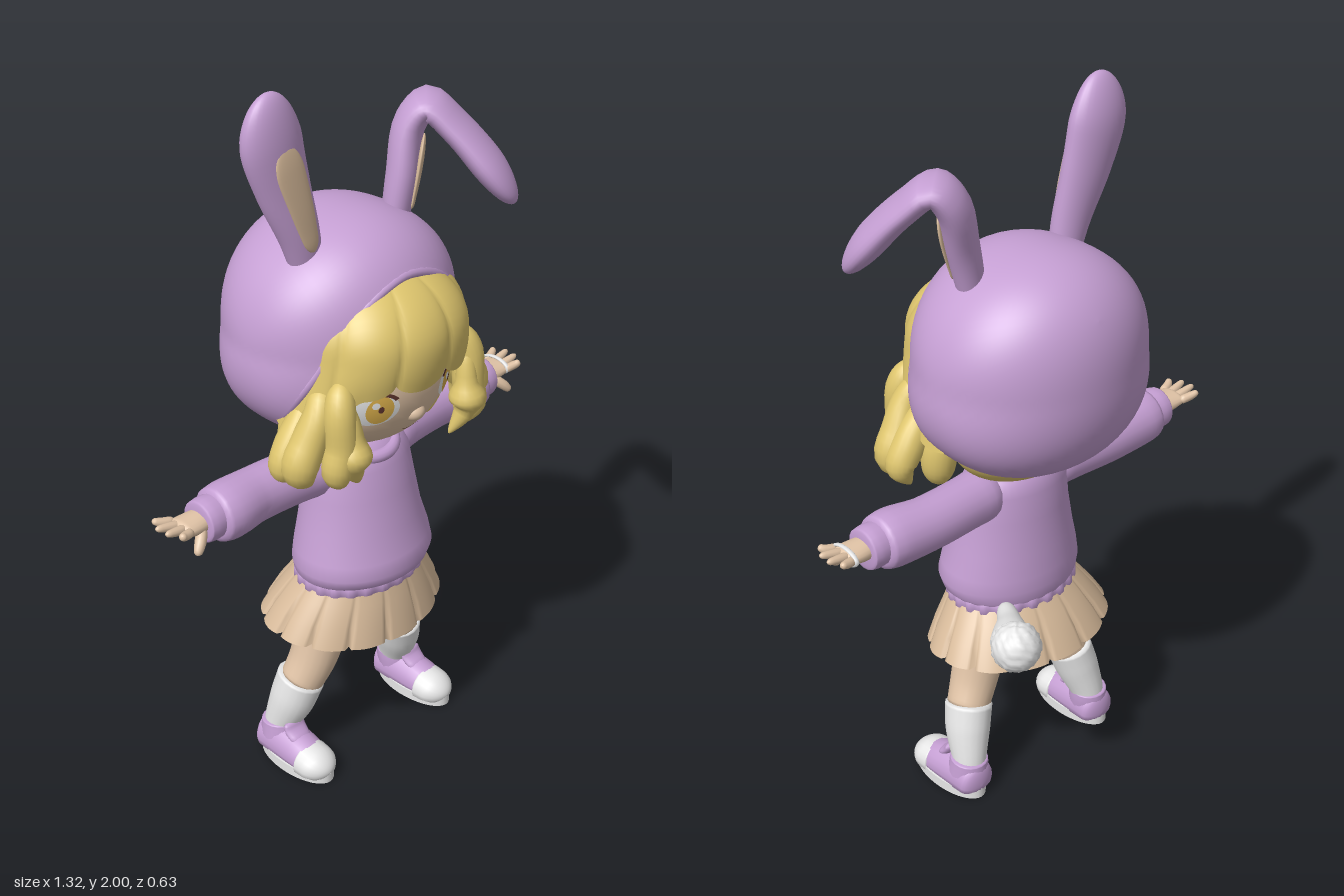
import * as THREE from 'three';

const V = (x, y, z) => new THREE.Vector3(x, y, z);
const mat = (name, color, side = THREE.FrontSide) => {
  const m = new THREE.MeshStandardMaterial({ color, side });
  m.name = name;
  return m;
};

// Surface from f(u, v), closed around u; outward when du x dv points out
function grid(f, nu, nv, closed = true) {
  const pos = [], idx = [], cols = closed ? nu : nu + 1;
  for (let j = 0; j <= nv; j++)
    for (let i = 0; i < cols; i++) pos.push(...f(i / nu, j / nv).toArray());
  for (let j = 0; j < nv; j++)
    for (let i = 0; i < nu; i++) {
      const a = j * cols + i, b = j * cols + (i + 1) % cols;
      idx.push(a, b, a + cols, b, b + cols, a + cols);
    }
  const g = new THREE.BufferGeometry();
  g.setAttribute('position', new THREE.Float32BufferAttribute(pos, 3));
  g.setIndex(idx);
  g.computeVertexNormals();
  return g;
}

// Elliptical tube through [x, y, z, width, thickness] with rounded ends
function sweep(pts, { side = V(1, 0, 0), c0 = 0.15, c1 = 0.15, lift = 0, floor = -9, nu = 20, nv = 24 } = {}) {
  const path = new THREE.CatmullRomCurve3(pts.map(p => V(p[0], p[1], p[2])));
  const size = new THREE.CatmullRomCurve3(pts.map(p => V(p[3], p[4] ?? p[3], 0)));
  const round = x => Math.sqrt(Math.max(1e-5, 1 - x * x));
  return grid((u, v) => {
    const t = 0.5 - 0.5 * Math.cos(Math.PI * v), a = u * Math.PI * 2;
    const T = path.getTangent(t);
    const S = side.clone().addScaledVector(T, -side.dot(T)).normalize();
    const N = T.clone().cross(S), r = size.getPoint(t);
    let k = 1;
    if (c0 && t < c0) k *= round((c0 - t) / c0);
    if (c1 && t > 1 - c1) k *= round((t - 1 + c1) / c1);
    const p = path.getPoint(t).addScaledVector(S, Math.cos(a) * r.x * k)
      .addScaledVector(N, Math.sin(a) * r.y * k + lift);
    p.y = Math.max(p.y, floor);
    return p;
  }, nu, nv);
}

// Stacked rings [y, half width, front z, back z], listed upward
function rings(list, nu = 48, mod = () => 1, drop = () => 0) {
  const n = list.length - 1;
  return grid((u, v) => {
    const [y, rx, zf, zb] = list[Math.round(v * n)], a = u * Math.PI * 2, k = mod(u, v);
    return V(rx * Math.sin(a) * k, y - drop(a) * (1 - v), (zf + zb) / 2 + (zf - zb) / 2 * Math.cos(a) * k);
  }, nu, n);
}

export function createModel() {
  const root = new THREE.Group();
  const D = THREE.DoubleSide;
  const lilac = mat('lilac knit', 0xc59fd3, D), hair = mat('blonde hair', 0xdfc66e, D);
  const skin = mat('skin', 0xe0c3a6), tan = mat('tan cloth', 0xd8bb9b, D);
  const white = mat('white', 0xe8e8e8, D), amber = mat('amber iris', 0xdcb04c, D), dark = mat('dark lash', 0x5c332c, D);
  const add = (name, g, m) => {
    const o = new THREE.Mesh(g, m);
    o.name = name;
    root.add(o);
    return o;
  };
  const ball = (name, m, p, s) => {
    const o = add(name, new THREE.SphereGeometry(1, 36, 24), m);
    o.position.set(...p);
    o.scale.set(...s);
    return o;
  };

  // Head and face
  const HC = [0, 1.22, 0.04], HR = [0.245, 0.22, 0.22];
  ball('head', skin, HC, HR);
  ball('nose', skin, [0, 1.137, 0.225], [0.032, 0.026, 0.033]);
  const onFace = (name, m, g, x, y, sx, sy, lift) => {
    const p = g.attributes.position;
    for (let i = 0; i < p.count; i++) {
      const X = x + p.getX(i) * sx, Y = y + p.getY(i) * sy;
      const q = 1 - (X / HR[0]) ** 2 - ((Y - HC[1]) / HR[1]) ** 2;
      p.setXYZ(i, X, Y, HC[2] + HR[2] * Math.sqrt(Math.max(q, 0)) + lift);
    }
    g.computeVertexNormals();
    add(name, g, m);
  };
  const disc = () => new THREE.RingGeometry(0.001, 1, 28, 5);
  const arc = (r, a, b) => new THREE.RingGeometry(r, 1, 24, 2, a, b);
  for (const s of [1, -1]) {
    onFace('eyeWhite', white, disc(), s * 0.13, 1.185, 0.058, 0.046, 0.002);
    onFace('iris', amber, disc(), s * 0.122, 1.187, 0.033, 0.042, 0.004);
    onFace('pupil', dark, disc(), s * 0.122, 1.19, 0.007, 0.01, 0.006);
    onFace('eyeGlint', white, disc(), s * 0.122 - 0.014, 1.204, 0.009, 0.01, 0.007);
    onFace('upperLash', dark, arc(0.83, s > 0 ? 0.1 : 0.6, Math.PI - 0.7), s * 0.135, 1.185, 0.068, 0.055, 0.006);
  }
  onFace('mouth', dark, arc(0.92, Math.PI * 1.2, Math.PI * 0.6), 0, 1.108, 0.04, 0.024, 0.003);

  // Hair: nape, fringe with scalloped locks, curls at each side
  ball('backHair', hair, [0, 1.11, -0.02], [0.23, 0.145, 0.15]);
  add('fringe', grid((u, v) => {
    const a = (u - 0.5) * 4, lock = Math.sqrt(Math.abs(Math.cos(a * 5 + (1 - v) * 0.7)));
    const sideDrop = THREE.MathUtils.smoothstep(Math.abs(a), 0.75, 1.15);
    const yb = 1.275 - 0.035 * lock - 0.11 * sideDrop;
    const y = yb + (1.53 - yb) * Math.sin(v * Math.PI / 2);
    const h = y - 1.34, sn = Math.sin(a), cs = Math.cos(a);
    const r = h > 0 ? Math.sqrt(Math.max(0, 1 - (h / 0.19) ** 2)) : 1 - 0.1 * (1 - sideDrop) * (h / 0.13) ** 2;
    const k = r * (0.95 + 0.05 * lock) * (Math.abs(sn) ** 2.2 + Math.abs(cs) ** 2.2) ** (-1 / 2.2);
    return V((0.258 - 0.2 * Math.min(h, 0)) * sn * k, y, 0.05 + 0.265 * cs * k);
  }, 140, 20, false), hair);
  const curls = [
    [[0.21, 1.29, 0.18, 0.03], [0.235, 1.21, 0.2, 0.042], [0.235, 1.12, 0.205, 0.043], [0.25, 1.05, 0.205, 0.04], [0.205, 0.985, 0.185, 0.02]],
    [[0.22, 1.26, 0.13, 0.035], [0.258, 1.2, 0.15, 0.04], [0.29, 1.13, 0.145, 0.047], [0.317, 1.065, 0.14, 0.05], [0.27, 0.99, 0.13, 0.025]],
    [[0.21, 1.22, 0.08, 0.035], [0.255, 1.17, 0.095, 0.042], [0.3, 1.11, 0.095, 0.045], [0.328, 1.055, 0.095, 0.042], [0.31, 1.0, 0.08, 0.02]],
    [[0.21, 1.18, 0.04, 0.04], [0.235, 1.1, 0.045, 0.05], [0.24, 1.04, 0.05, 0.045], [0.22, 0.975, 0.07, 0.025]],
    [[0.22, 1.24, 0.205, 0.022], [0.21, 1.13, 0.222, 0.03], [0.21, 1.06, 0.222, 0.03], [0.17, 0.985, 0.2, 0.015]],
  ];
  for (const s of [1, -1])
    for (const c of curls)
      add('sideCurl', sweep(c.map(([x, y, z, r]) => [s * x, y, z, r]), { c1: 0.3 }), hair);

  // Hood: rounded shell, fuller below, open towards the lower front, with a rolled rim
  const B = V(0, 0.566, -0.824), W = V(0, 0.824, 0.566);
  const hoodPoint = (phi, theta, k = 1) => {
    const d = B.clone().multiplyScalar(Math.cos(theta))
      .addScaledVector(V(1, 0, 0), Math.sin(theta) * Math.cos(phi))
      .addScaledVector(W, Math.sin(theta) * Math.sin(phi));
    const p = 2.5, yz = (Math.abs(d.y) ** p + Math.abs(d.z) ** p) ** (1 / p);
    d.multiplyScalar(k / Math.hypot(d.x, yz));
    return V(d.x * (0.325 - 0.07 * Math.min(d.y, 0)), 1.325 + d.y * 0.303, -0.04 + d.z * 0.28);
  };
  const rim = phi => 1.91 + 0.28 * Math.cos(phi) ** 2 + 0.06 * Math.max(0, Math.sin(phi)) * Math.abs(Math.cos(phi));
  add('hood', grid((u, v) => hoodPoint(u * Math.PI * 2, rim(u * Math.PI * 2) * Math.max(v, 0.001)), 64, 36), lilac);
  const rimPts = [];
  for (let i = 0; i < 32; i++) rimPts.push(hoodPoint(i * Math.PI / 16, rim(i * Math.PI / 16), 0.965));
  add('hoodRim', new THREE.TubeGeometry(new THREE.CatmullRomCurve3(rimPts, true), 96, 0.013, 8, true), lilac);

  // Ears: one upright, one folded forward, each with a tan inner face
  const ear = (name, pts, inner, side, tip) => {
    add(name, sweep(pts, { side, c0: 0.02, c1: tip, nv: 40, nu: 28 }), lilac);
    add(name + 'Inner', sweep(inner, { side, c0: 0.1, c1: 0.35, lift: 0.038, nv: 30 }), tan);
  };
  ear('uprightEar',
    [[-0.155, 1.5, 0.01, 0.042, 0.035], [-0.185, 1.62, 0.01, 0.058, 0.042], [-0.225, 1.75, 0, 0.078, 0.046], [-0.258, 1.88, -0.005, 0.09, 0.048], [-0.27, 2.0, 0, 0.085, 0.045]],
    [[-0.172, 1.58, 0.012, 0.02, 0.006], [-0.208, 1.7, 0.01, 0.036, 0.009], [-0.238, 1.8, 0.005, 0.044, 0.009], [-0.255, 1.87, 0, 0.044, 0.008]], V(-1, 0, 0), 0.3);
  ear('foldedEar',
    [[0.155, 1.52, 0, 0.042, 0.035], [0.185, 1.66, 0, 0.06, 0.042], [0.225, 1.79, -0.012, 0.074, 0.042], [0.26, 1.836, 0.012, 0.083, 0.038],
      [0.298, 1.785, 0.07, 0.086, 0.038], [0.342, 1.69, 0.15, 0.088, 0.042], [0.378, 1.592, 0.218, 0.085, 0.042]],
    [[0.165, 1.58, 0.002, 0.02, 0.006], [0.188, 1.67, 0.002, 0.037, 0.009], [0.216, 1.77, -0.004, 0.044, 0.009]], V(-0.76, 0, 0.65), 0.2);

  // Sweater with ribbed hem and collar
  add('sweater', rings([[0.595, 0.19, 0.185, -0.115], [0.61, 0.204, 0.207, -0.12], [0.64, 0.212, 0.217, -0.123], [0.68, 0.205, 0.208, -0.12],
    [0.75, 0.186, 0.186, -0.113], [0.85, 0.168, 0.166, -0.102], [0.93, 0.16, 0.145, -0.098], [0.97, 0.14, 0.128, -0.085], [1.0, 0.1, 0.1, -0.06], [1.015, 0.03, 0.05, 0]]), lilac);
  const rib = u => 1 + 0.015 * Math.sign(Math.cos(u * Math.PI * 2 * 24));
  add('hem', rings([[0.568, 0.185, 0.18, -0.11], [0.575, 0.197, 0.19, -0.12], [0.6, 0.197, 0.192, -0.12], [0.61, 0.188, 0.183, -0.112]], 144, rib), lilac);
  const collar = add('collar', new THREE.TorusGeometry(0.088, 0.018, 12, 40), lilac);
  collar.position.set(0, 0.985, 0.042);
  collar.rotation.x = Math.PI / 2 + 0.25;
  ball('neck', skin, [0, 1.0, 0.02], [0.075, 0.06, 0.075]);

  // Skirt of wide panels parted by narrow grooves, longest in front, over the hips
  const pleat = (u, v) => {
    const f = (u * 14 + 0.5) % 1;
    return 1 + (1 - v) * (f > 0.95 || f < 0.05 ? -0.06 : 0.025 * Math.sin(f * Math.PI));
  };
  add('skirt', rings([[0.45, 0.278, 0.213, -0.203], [0.5, 0.25, 0.205, -0.178], [0.55, 0.215, 0.192, -0.145], [0.595, 0.183, 0.178, -0.11]],
    168, pleat, a => 0.012 * Math.cos(a) + 0.018 * Math.cos(a) ** 2), tan);
  ball('hips', skin, [0, 0.535, 0.03], [0.172, 0.1, 0.13]);

  for (const s of [1, -1]) {
    const mx = pts => pts.map(([x, ...r]) => [s * x, ...r]);

    // Sleeve, cuff and hand
    add('sleeve', sweep(mx([[0.08, 0.925, 0.015, 0.08, 0.08], [0.2, 0.928, 0, 0.073, 0.072], [0.34, 0.93, -0.008, 0.074, 0.072], [0.44, 0.934, 0, 0.078, 0.08], [0.5, 0.936, 0, 0.07, 0.07]]),
      { side: V(0, 1, 0), c1: 0.08 }), lilac);
    add('cuff', sweep(mx([[0.475, 0.938, 0, 0.058], [0.51, 0.938, 0, 0.06], [0.54, 0.938, 0, 0.056]]), { side: V(0, 1, 0), c1: 0.12 }), lilac);
    add('palm', sweep(mx([[0.5, 0.943, 0, 0.03, 0.035], [0.555, 0.944, 0, 0.026, 0.042], [0.605, 0.95, 0, 0.017, 0.044]]), { side: V(0, 1, 0) }), skin);
    for (let i = 0; i < 4; i++) {
      const z = (i - 1.5) * 0.023, len = [0.64, 0.658, 0.655, 0.632][i];
      add('finger', sweep(mx([[0.585, 0.95, z, 0.013], [0.62, 0.957, z * 1.3, 0.012], [len, 0.966, z * 1.55, 0.008]]), { side: V(0, 1, 0), nu: 10, nv: 10 }), skin);
    }
    add('thumb', sweep(mx([[0.545, 0.935, 0.025, 0.016], [0.57, 0.912, 0.045, 0.015], [0.59, 0.89, 0.056, 0.01]]), { side: V(0, 1, 0), nu: 10, nv: 10 }), skin);

    // Leg and sock
    add('leg', sweep(mx([[0.1, 0.52, 0.02, 0.08], [0.128, 0.42, 0.02, 0.074], [0.16, 0.32, 0.015, 0.067], [0.2, 0.24, 0, 0.06]]), { c0: 0.05, c1: 0.05 }), skin);
    add('sock', sweep(mx([[0.192, 0.265, 0.002, 0.065, 0.071], [0.212, 0.19, -0.015, 0.062, 0.067], [0.232, 0.1, -0.042, 0.048, 0.05], [0.235, 0.06, -0.045, 0.046, 0.046]]), { c0: 0.03, c1: 0.05 }), white);

    // Shoe: sole, upper, toe cap, ankle collar, tongue
    const sole = add('sole', new THREE.CylinderGeometry(1, 1, 0.03, 36), white);
    sole.scale.set(0.062, 1, 0.133);
    sole.position.set(s * 0.24, 0.015, 0.03);
    add('shoeUpper', sweep(mx([[0.237, 0.04, -0.104, 0.055, 0.065], [0.238, 0.045, -0.04, 0.058, 0.066], [0.24, 0.04, 0.05, 0.058, 0.06], [0.242, 0.035, 0.13, 0.05, 0.04]]), { floor: 0.026 }), lilac);
    add('toeCap', sweep(mx([[0.24, 0.035, 0.07, 0.061, 0.058], [0.241, 0.034, 0.11, 0.06, 0.051], [0.242, 0.032, 0.163, 0.053, 0.04]]), { floor: 0.012, c0: 0.1, c1: 0.5 }), white);
    add('shoeCollar', sweep(mx([[0.238, 0.06, -0.04, 0.056, 0.06], [0.235, 0.09, -0.043, 0.055, 0.057], [0.234, 0.115, -0.045, 0.053, 0.053]]), { c0: 0, c1: 0.1 }), lilac);
    add('tongue', sweep(mx([[0.24, 0.08, 0.055, 0.032, 0.014], [0.238, 0.108, 0.02, 0.036, 0.014], [0.237, 0.132, 0.01, 0.034, 0.012]]), { nv: 12 }), lilac);
  }

  // White band on the left hand
  const band = add('handBand', new THREE.TorusGeometry(1, 0.14, 8, 28), white);
  band.rotation.y = Math.PI / 2;
  band.scale.set(0.046, 0.022, 0.05);
  band.position.set(0.592, 0.951, -0.004);

  // Tail: flared stem with a knobbly pompon
  add('tailStem', sweep([[0.12, 0.598, -0.07, 0.022], [0.165, 0.603, -0.14, 0.034], [0.2, 0.606, -0.185, 0.05], [0.24, 0.608, -0.235, 0.064]]), white);
  const puff = new THREE.SphereGeometry(0.067, 40, 28), q = puff.attributes.position, v = V(0, 0, 0);
  for (let i = 0; i < q.count; i++) {
    v.fromBufferAttribute(q, i);
    v.multiplyScalar(1 + 0.06 * Math.sin(v.x * 190) * Math.sin(v.y * 190 + 1) * Math.sin(v.z * 190 + 2));
    q.setXYZ(i, v.x, v.y, v.z);
  }
  puff.computeVertexNormals();
  add('tailPompon', puff, white).position.set(0.228, 0.608, -0.238);

  return root;
}
